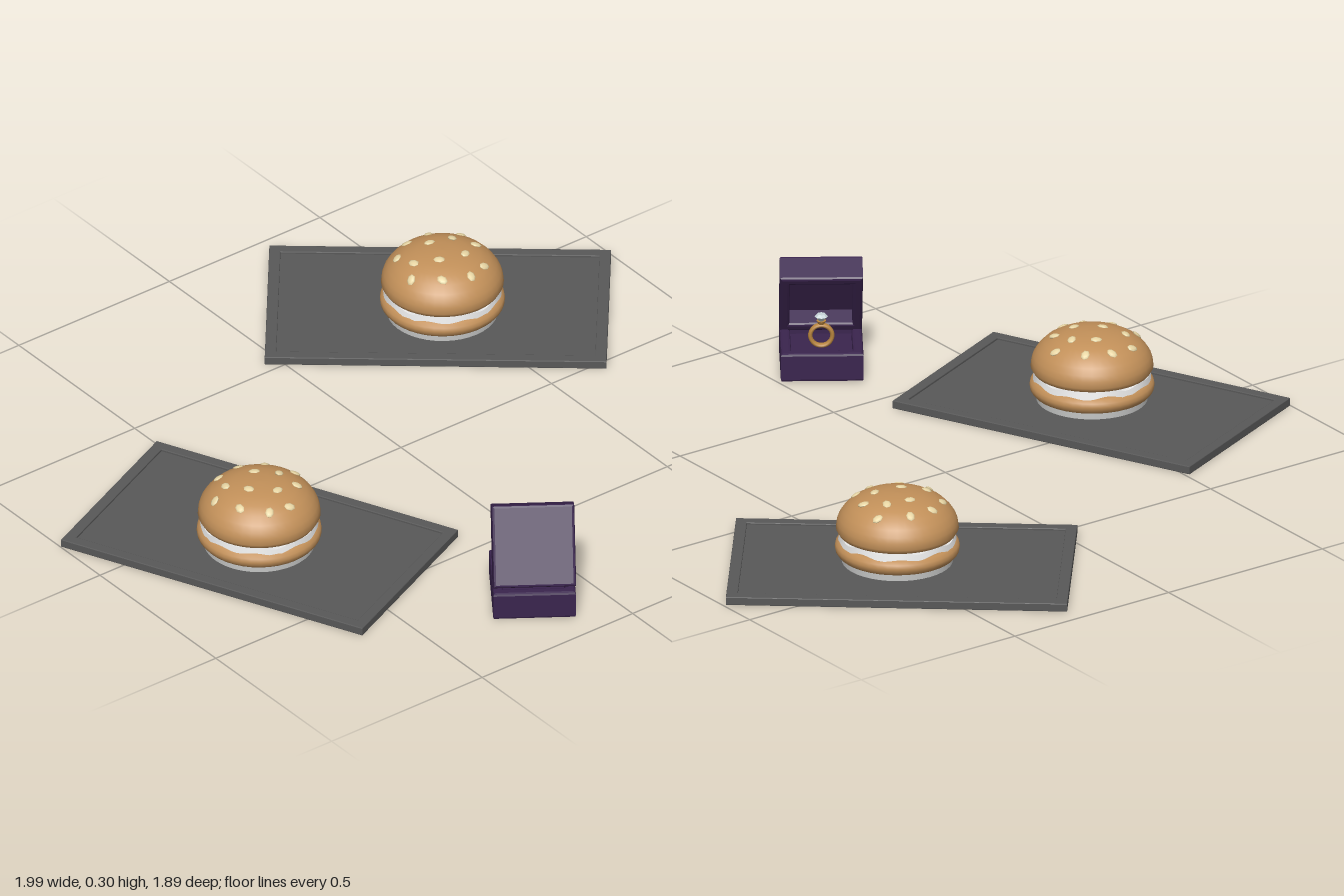
import * as THREE from 'three';

const mat = (name, color, opts = {}) => Object.assign(new THREE.MeshStandardMaterial({ color, ...opts }), { name });

export function createModel() {
  const slate = mat('slate', 0x585858);
  const bunBrown = mat('bunBrown', 0xc29059);
  const sauceWhite = mat('sauceWhite', 0xeeeeee, { side: THREE.DoubleSide });
  const paperGrey = mat('paperGrey', 0xc4c5c4);
  const seedCream = mat('seedCream', 0xe8d6a4);
  const velvet = mat('velvet', 0x3a244e);
  const gold = mat('gold', 0xb9853f);
  const crystal = mat('crystal', 0xc9d6da, { flatShading: true });

  const add = (parent, name, geo, material, x = 0, y = 0, z = 0) => {
    const m = new THREE.Mesh(geo, material);
    m.name = name;
    m.position.set(x, y, z);
    parent.add(m);
    return m;
  };
  const group = (parent, name, x = 0, y = 0, z = 0, ry = 0) => {
    const g = new THREE.Group();
    g.name = name;
    g.position.set(x, y, z);
    g.rotation.y = ry;
    parent.add(g);
    return g;
  };
  const rect = (P, w, d) => new P().setFromPoints([[-1, -1], [1, -1], [1, 1], [-1, 1]]
    .map(([x, y]) => new THREE.Vector2(x * w / 2, y * d / 2)));
  // Rectangular frame lying flat, bevelled on its edges, from y = 0 to h
  const frame = (w, d, h, wall, bevel) => {
    const shape = rect(THREE.Shape, w, d);
    shape.holes.push(rect(THREE.Path, w - 2 * wall, d - 2 * wall));
    const geo = new THREE.ExtrudeGeometry(shape, {
      depth: h - 2 * bevel, bevelThickness: bevel, bevelSize: bevel, bevelOffset: -bevel, bevelSegments: 2,
    });
    return geo.translate(0, 0, bevel).rotateX(-Math.PI / 2);
  };
  // Open box: frame plus a floor that fills it up to a given height
  const openBox = (parent, name, w, d, h, wall, floor, bevel, material) => {
    add(parent, name + 'Walls', frame(w, d, h, wall, bevel), material);
    const inner = 2 * (wall - bevel);
    add(parent, name + 'Floor', new THREE.BoxGeometry(w - inner, floor, d - inner), material, 0, floor / 2, 0);
  };

  const curveLathe = (pts) => {
    const v = pts.map(([x, y]) => new THREE.Vector2(x, y));
    return new THREE.LatheGeometry(v, 40);
  };
  const topProfile = [[0, 0.093], [0.14, 0.093], [0.155, 0.098], [0.162, 0.11], [0.16, 0.128], [0.155, 0.143],
    [0.144, 0.16], [0.126, 0.178], [0.1, 0.193], [0.07, 0.202], [0.035, 0.207], [0, 0.208]];
  const lowProfile = [[0, 0.033], [0.14, 0.033], [0.155, 0.037], [0.163, 0.047], [0.165, 0.057],
    [0.163, 0.067], [0.155, 0.076], [0.14, 0.08], [0, 0.08]];
  // Height and slope of the crown at a given radius
  const crownAt = (r) => {
    for (let i = topProfile.length - 1; i > 4; i--) {
      const [r0, y0] = topProfile[i], [r1, y1] = topProfile[i - 1];
      if (r <= r1) {
        const slope = (y1 - y0) / (r1 - r0);
        return { y: y0 + slope * (r - r0), slope };
      }
    }
    return { y: 0.13, slope: -2 };
  };
  const seedSpots = [[-0.053, -0.107], [0.016, -0.112], [0.08, -0.08], [0.021, -0.048], [-0.075, -0.048],
    [-0.123, -0.032], [-0.043, 0.011], [0.07, -0.005], [0.123, -0.005], [-0.101, 0.048], [0.016, 0.059],
    [0.08, 0.059], [-0.048, 0.107], [0.011, 0.117]];

  const makeBurger = (parent, x, z, ry) => {
    const b = group(parent, 'burger', x, 0, z, ry);
    add(b, 'paperBase', new THREE.CylinderGeometry(0.147, 0.147, 0.022, 40), paperGrey, 0, 0.026, 0);
    add(b, 'bottomBun', curveLathe(lowProfile), bunBrown);
    // Filling with a wavy, drooping edge
    const wave = new THREE.CylinderGeometry(0.152, 0.156, 0.016, 72, 1);
    const p = wave.attributes.position;
    for (let i = 0; i < p.count; i++) {
      const r = Math.hypot(p.getX(i), p.getZ(i));
      if (r < 0.1) continue;
      const a = Math.atan2(p.getZ(i), p.getX(i));
      p.setY(i, p.getY(i) + 0.004 * Math.sin(9 * a) + 0.002 * Math.sin(5 * a + 1));
    }
    wave.computeVertexNormals();
    add(b, 'filling', wave, sauceWhite, 0, 0.086, 0);
    add(b, 'topBun', curveLathe(topProfile), bunBrown);
    // Seeds lie along the crown's surface
    const seedGeo = new THREE.SphereGeometry(1, 7, 5);
    seedSpots.forEach(([sx, sz], i) => {
      const r = Math.hypot(sx, sz), { y, slope } = crownAt(r);
      const s = add(b, 'seed', seedGeo, seedCream, sx, y, sz);
      s.scale.set(0.016, 0.005, 0.012);
      const n = new THREE.Vector3(-slope * sx / r, 1, -slope * sz / r).normalize();
      s.quaternion.setFromUnitVectors(new THREE.Vector3(0, 1, 0), n);
      s.rotateY(i * 1.9);
    });
  };

  const root = new THREE.Group();
  root.name = 'burgersAndRingBox';

  // Two trays, each with a burger
  [[-0.57, 0.13, -1.147, -0.585, 0.148, 0], [0.475, -0.458, -0.679, 0.47, -0.432, 0.468]]
    .forEach(([tx, tz, tr, bx, bz, br]) => {
      const tray = group(root, 'tray', tx, 0, tz, tr);
      openBox(tray, 'tray', 0.9, 0.535, 0.023, 0.03, 0.017, 0.002, slate);
      makeBurger(root, bx, bz, br);
    });

  // Open box with its lid leaning forward over the base
  const box = group(root, 'ringBox', -0.158, 0, 0.773, Math.PI - 0.605);
  openBox(box, 'boxBase', 0.218, 0.218, 0.08, 0.028, 0.058, 0.007, velvet);
  const lid = group(box, 'boxLid', 0, 0.113, -0.13);
  lid.rotation.x = 0.5;
  const shell = group(lid, 'lidShell', 0, 0.109, 0);
  shell.rotation.x = Math.PI / 2;
  openBox(shell, 'lid', 0.218, 0.218, 0.08, 0.026, 0.03, 0.007, velvet);

  // Upright ring with a set stone
  const ring = group(box, 'ring', 0, 0.09, 0.005);
  const band = add(ring, 'ringBand', new THREE.TorusGeometry(0.029, 0.006, 10, 32), gold);
  band.scale.z = 1.6;
  add(ring, 'stoneSetting', new THREE.CylinderGeometry(0.013, 0.007, 0.012, 12), gold, 0, 0.036, 0);
  add(ring, 'stoneLower', new THREE.CylinderGeometry(0.018, 0.005, 0.014, 8), crystal, 0, 0.047, 0);
  add(ring, 'stoneCrown', new THREE.CylinderGeometry(0.011, 0.018, 0.007, 8), crystal, 0, 0.0575, 0);
  return root;
}
